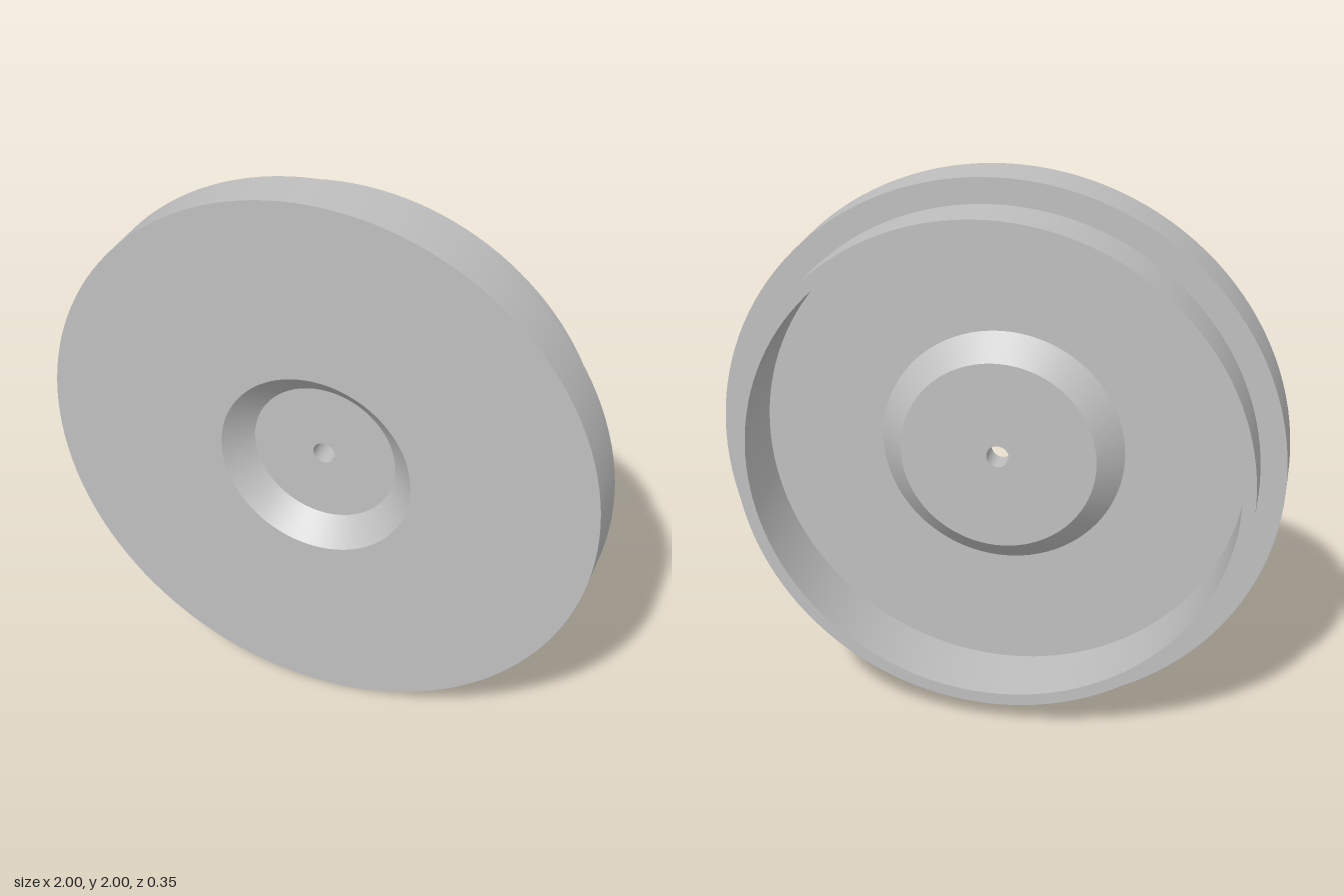
import * as THREE from 'three';
import { toCreasedNormals } from 'three/addons/utils/BufferGeometryUtils.js';

export function createModel() {
  const group = new THREE.Group();
  group.name = 'roundCap';

  const grey = new THREE.MeshStandardMaterial({ color: 0xbfbfbf });
  grey.name = 'grey';

  // Closed cross-section as [radius, depth], depth pointing to the front
  const section = [
    [0.91, -0.175], [0.91, 0],                    // outside of the rear lip
    [1, 0], [1, 0.175],                           // flange
    [0.35, 0.175], [0.262, 0.0875],               // front face and sloped recess
    [0.04, 0.0875], [0.04, 0],                    // centre hole
    [0.35, 0], [0.437, 0.0875],                   // rear boss
    [0.865, 0.0875], [0.865, -0.175],             // rear floor and inside of the lip
    [0.91, -0.175],                               // edge of the lip
  ].map(([r, d]) => new THREE.Vector2(r, d));

  const geometry = toCreasedNormals(new THREE.LatheGeometry(section, 128), Math.PI / 6);
  geometry.rotateX(Math.PI / 2);

  const cap = new THREE.Mesh(geometry, grey);
  cap.name = 'capBody';
  cap.position.y = 1;
  group.add(cap);
  return group;
}
